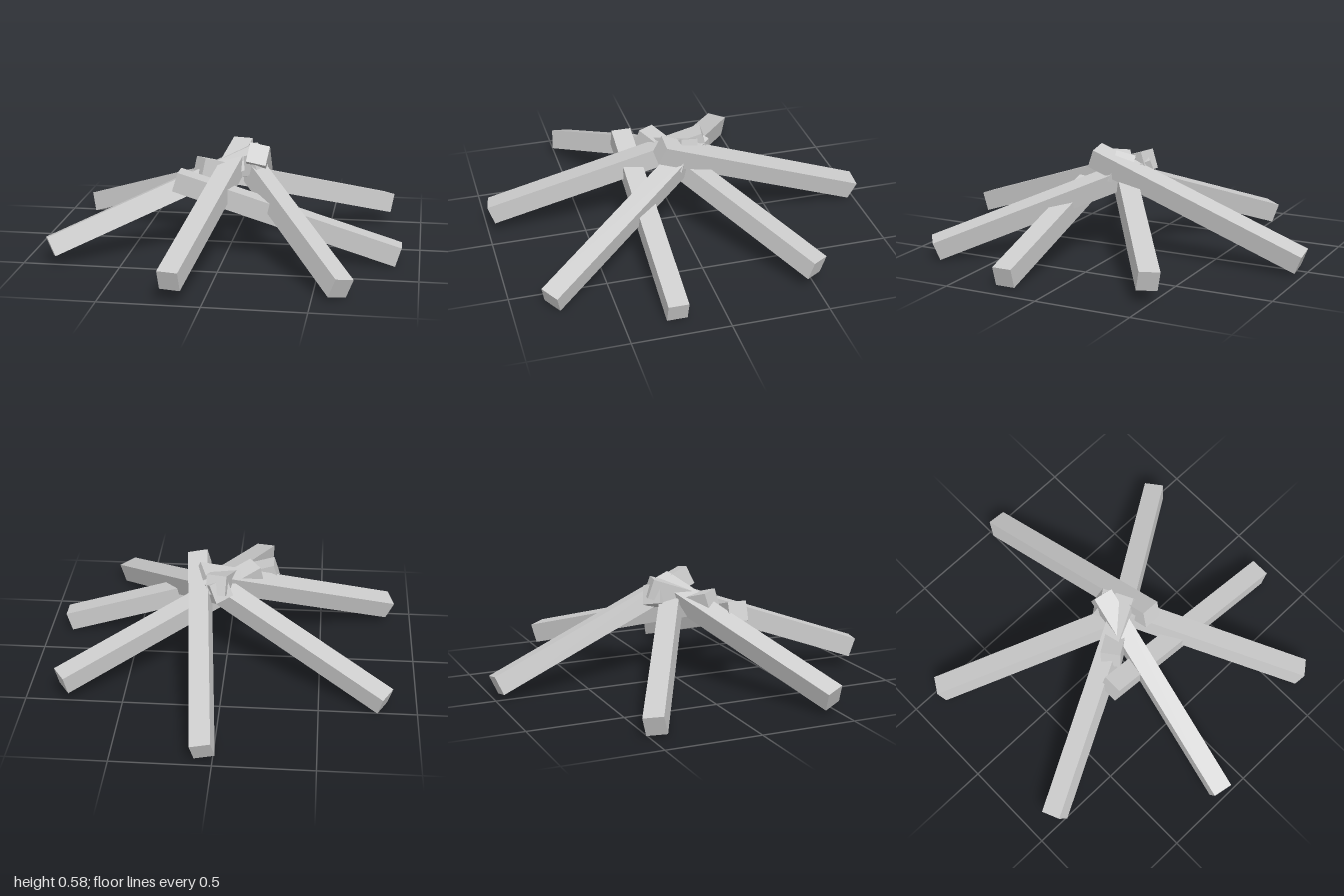
import * as THREE from 'three';

const THICKNESS = 0.104;

// Square timber between two end centres; side is the direction across its width (sets the roll)
function makeBeam(name, outer, inner, side, material) {
  const a = new THREE.Vector3(...outer);
  const b = new THREE.Vector3(...inner);
  const z = b.clone().sub(a);
  const length = z.length();
  z.normalize();
  const x = new THREE.Vector3(...side);
  x.addScaledVector(z, -x.dot(z)).normalize();
  const y = new THREE.Vector3().crossVectors(z, x);

  const beam = new THREE.Mesh(new THREE.BoxGeometry(THICKNESS, THICKNESS, length), material);
  beam.name = name;
  beam.quaternion.setFromRotationMatrix(new THREE.Matrix4().makeBasis(x, y, z));
  beam.position.copy(a).add(b).multiplyScalar(0.5);
  return beam;
}

export function createModel() {
  const group = new THREE.Group();
  group.name = 'beamPile';
  const material = new THREE.MeshStandardMaterial({ color: 0xcccccc, flatShading: true });

  // name, outer end on the ground, inner end on the heap, width direction
  const beams = [
    ['crossBeam', [0.893, 0.055, 0.24], [-0.251, 0.405, 0.24], [0, 0, 1]],
    ['backBeam', [0.047, 0.072, -0.98], [0.155, 0.527, 0.128], [0.104, -0.02, 0]],
    ['backLeftBeam', [0.81, 0.12, -0.5], [-0.15, 0.45, 0.14], [0.061, 0.01, 0.089]],
    ['backRightBeam', [-0.836, 0.063, -0.478], [0.164, 0.46, 0.055], [-0.05, 0.018, 0.1]],
    ['frontRightBeam', [-0.867, 0.086, 0.462], [0.144, 0.5, -0.033], [0.037, 0.028, 0.096]],
    ['frontBeam', [-0.157, 0.115, 0.972], [0.048, 0.505, -0.136], [0.105, 0, 0.018]],
    ['frontLeftBeam', [0.637, 0.062, 0.81], [0.02, 0.473, -0.133], [0.085, -0.02, -0.066]],
  ];
  for (const [name, outer, inner, side] of beams) {
    group.add(makeBeam(name, outer, inner, side, material));
  }
  return group;
}
